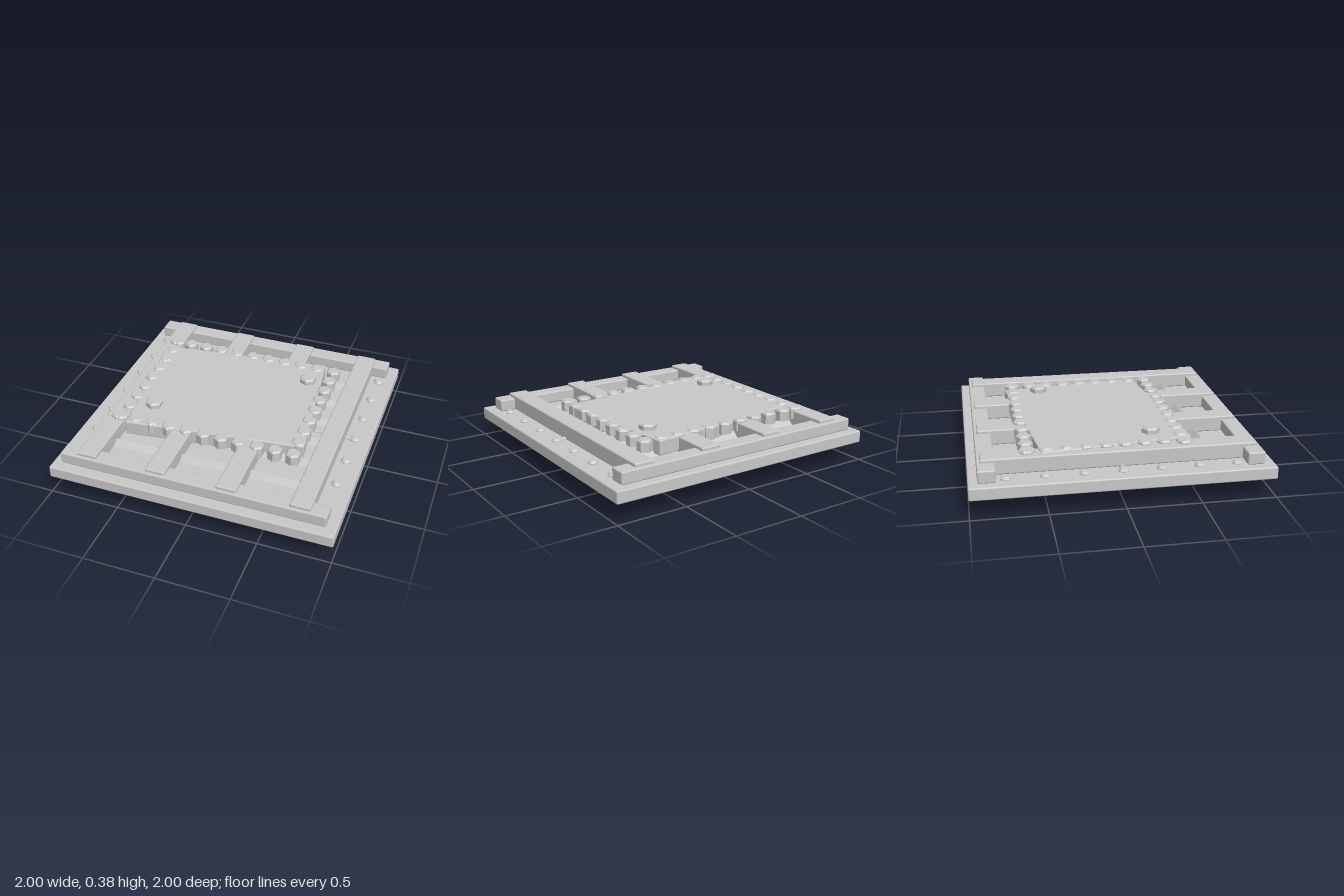
import * as THREE from 'three';
import { RoundedBoxGeometry } from 'three/addons/geometries/RoundedBoxGeometry.js';

export function createModel() {
  const model = new THREE.Group();
  model.name = 'boltedHatch';
  const steel = new THREE.MeshStandardMaterial({ color: 0xc8c8c8 });
  steel.name = 'light grey steel';

  const add = (name, geometry, x, y, z) => {
    const mesh = new THREE.Mesh(geometry, steel);
    mesh.name = name;
    mesh.position.set(x, y, z);
    model.add(mesh);
    return mesh;
  };

  // Box with softened edges, placed by its bottom and top heights
  const slab = (name, w, d, y0, y1, x = 0, z = 0) =>
    add(name, new RoundedBoxGeometry(w, y1 - y0, d, 2, 0.01), x, (y0 + y1) / 2, z);

  // Chamfered bolt head, closed at top and bottom
  const boltGeometry = (r, h, bevel, sides = 6) => {
    const points = [[0, 0], [r, 0], [r, h - bevel], [r - bevel, h], [0, h]]
      .map(([x, y]) => new THREE.Vector2(x, y));
    const geometry = new THREE.LatheGeometry(points, sides).toNonIndexed();
    geometry.computeVertexNormals();
    return geometry;
  };

  // Stacked plates
  slab('basePlate', 1.41, 1.41, 0, 0.082);
  slab('mainPlate', 2, 2, 0.13, 0.217);

  // Tilted bars passing through the main plate
  for (let i = 0; i < 6; i++) {
    const slat = add('tiltedSlat', new THREE.BoxGeometry(1.37, 0.15, 0.085), 0, 0.173, 0.027 + (i - 2.5) * 0.24);
    slat.rotation.x = -Math.PI / 4;
  }

  // Cross rails and the bars laid over them
  for (const z of [-0.88, 0.87]) slab('crossRail', 1.87, 0.117, 0.217, 0.303, -0.005, z);
  for (const x of [-0.75, -0.25, 0.25, 0.75]) slab('gratingBar', 0.14, 1.825, 0.217, 0.326, x, -0.003);

  // Thin rod along the middle
  const rod = add('hingeRod', new THREE.CylinderGeometry(0.018, 0.018, 1.78, 10), 0, 0.217, -0.003);
  rod.rotation.z = Math.PI / 2;

  // Skewed cover plate
  const cover = slab('coverPlate', 1.274, 1.028, 0.23, 0.335, -0.087, -0.087);
  cover.rotation.y = 0.122;

  // Square ring of bolts round the cover
  const ringBolt = boltGeometry(0.053, 0.08, 0.012);
  for (const z of [-0.61, 0.435])
    for (let i = 0; i < 11; i++) add('ringBolt', ringBolt, -0.735 + i * 0.1295, 0.266, z);
  for (const x of [-0.71, 0.56])
    for (let i = 0; i < 9; i++) {
      if (x > 0 && (i === 0 || i === 8)) continue;
      add('ringBolt', ringBolt, x, 0.266, -0.61 + i * 0.1306);
    }

  // Two large bolts on the cover
  const largeBolt = boltGeometry(0.062, 0.045, 0.012);
  add('coverBolt', largeBolt, -0.545, 0.331, 0.245);
  add('coverBolt', largeBolt, 0.413, 0.331, -0.42);

  // Small bolts down both sides
  const smallBolt = boltGeometry(0.036, 0.025, 0.015, 8);
  for (const x of [-0.887, 0.885])
    for (let i = -3; i <= 3; i++) add('edgeBolt', smallBolt, x, 0.213, i * 0.2525 - 0.003);

  return model;
}
